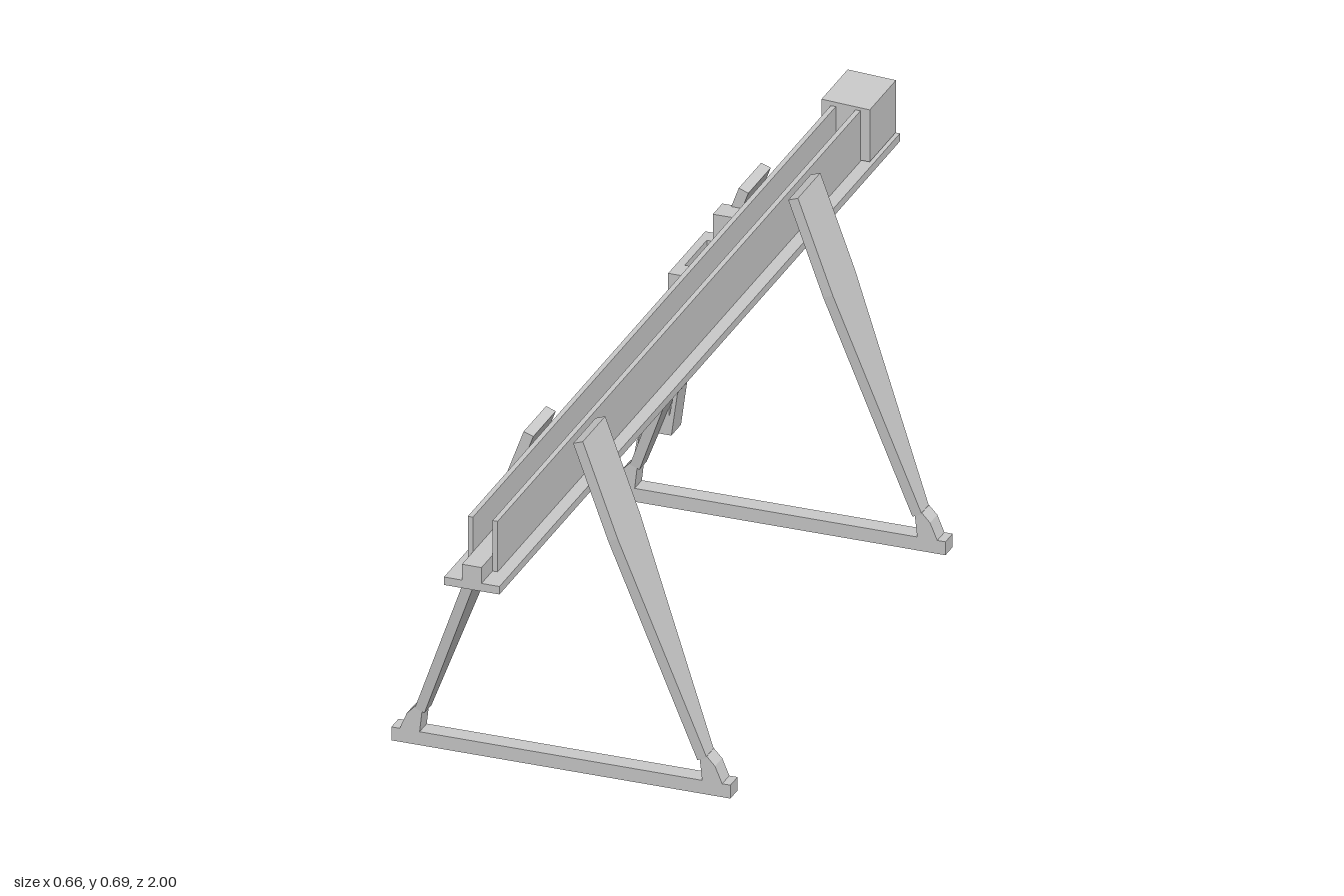
import * as THREE from 'three';

const mat = new THREE.MeshStandardMaterial({ color: 0xcccccc, flatShading: true });

function add(parent, name, geometry) {
  const mesh = new THREE.Mesh(geometry, mat);
  mesh.name = name;
  parent.add(mesh);
  return mesh;
}

// Box given by its limits on each axis
function block(parent, name, [x0, x1], [y0, y1], [z0, z1]) {
  const g = new THREE.BoxGeometry(x1 - x0, y1 - y0, z1 - z0);
  g.translate((x0 + x1) / 2, (y0 + y1) / 2, (z0 + z1) / 2);
  return add(parent, name, g);
}

// Outline in x and y, extruded from z0 to z1
function prism(points, z0, z1) {
  const shape = new THREE.Shape(points.map(([x, y]) => new THREE.Vector2(x, y)));
  const g = new THREE.ExtrudeGeometry(shape, { depth: z1 - z0, bevelEnabled: false });
  return g.translate(0, 0, z0);
}

// One foot and leaning leg on the +x side
function createSide() {
  const side = new THREE.Group();
  add(side, 'foot', prism([
    [0.275, 0.027], [0.314, 0.027], [0.3, 0.06], [0.284, 0.077], [0.27, 0.072],
  ], -0.018, 0.018));

  // Leg board: wide at the top, tapering towards the foot
  const length = 0.657, lean = 0.3525, bend = 0.46, top = 0.056, foot = 0.018;
  const board = prism([
    [-foot, 0], [foot, 0], [top, bend], [top, length], [-top, length], [-top, bend],
  ], -0.01, 0.01);
  board.rotateY(Math.PI / 2).rotateZ(lean).translate(0.275, 0.07, 0);
  add(side, 'leg', board);
  return side;
}

function createTrestle(name, z) {
  const trestle = new THREE.Group();
  trestle.name = name;
  trestle.position.z = z;
  block(trestle, 'groundBar', [-0.33, 0.33], [0, 0.027], [-0.018, 0.018]);
  const left = createSide();
  left.name = 'leftSide';
  const right = createSide();
  right.name = 'rightSide';
  right.rotation.y = Math.PI;
  trestle.add(left, right);
  return trestle;
}

export function createModel() {
  const model = new THREE.Group();
  model.name = 'launchRail';

  // Rail: base plate, two walls and a floor strip
  const rail = new THREE.Group();
  rail.name = 'rail';
  block(rail, 'basePlate', [-0.054, 0.054], [0.567, 0.583], [-1, 1]);
  block(rail, 'floorStrip', [-0.019, 0.019], [0.583, 0.615], [-0.87, 1]);
  for (const s of [-1, 1]) {
    const x = [0.019 * s, 0.029 * s].sort((a, b) => a - b);
    block(rail, 'wall', x, [0.583, 0.685], [-0.87, 0.945]);
  }
  add(rail, 'endBox', prism([
    [-0.047, 0.585], [0.047, 0.585], [0.047, 0.69], [-0.047, 0.695],
  ], -0.998, -0.867));
  model.add(rail);

  model.add(createTrestle('frontTrestle', 0.537), createTrestle('backTrestle', -0.537));

  // Fittings on the right leg of the back trestle
  block(model, 'railClamp', [-0.092, -0.029], [0.6, 0.65], [-0.487, -0.44]);

  const bracket = new THREE.Group();
  bracket.name = 'legBracket';
  block(bracket, 'bracketPlate', [-0.179, -0.163], [0.465, 0.515], [-0.625, -0.44]);
  block(bracket, 'bracketBackArm', [-0.163, -0.11], [0.465, 0.515], [-0.625, -0.592]);
  block(bracket, 'bracketFrontArm', [-0.163, -0.11], [0.465, 0.515], [-0.482, -0.44]);
  model.add(bracket);

  // Small box with an upright flap and a strip down to the foot
  add(model, 'controlBox', prism([
    [-0.298, 0.027], [-0.293, 0.027], [-0.279, 0.127], [-0.218, 0.127], [-0.206, 0.215],
    [-0.213, 0.215], [-0.222, 0.165], [-0.223, 0.178], [-0.282, 0.178], [-0.282, 0.127],
  ], -0.604, -0.556));

  return model;
}
